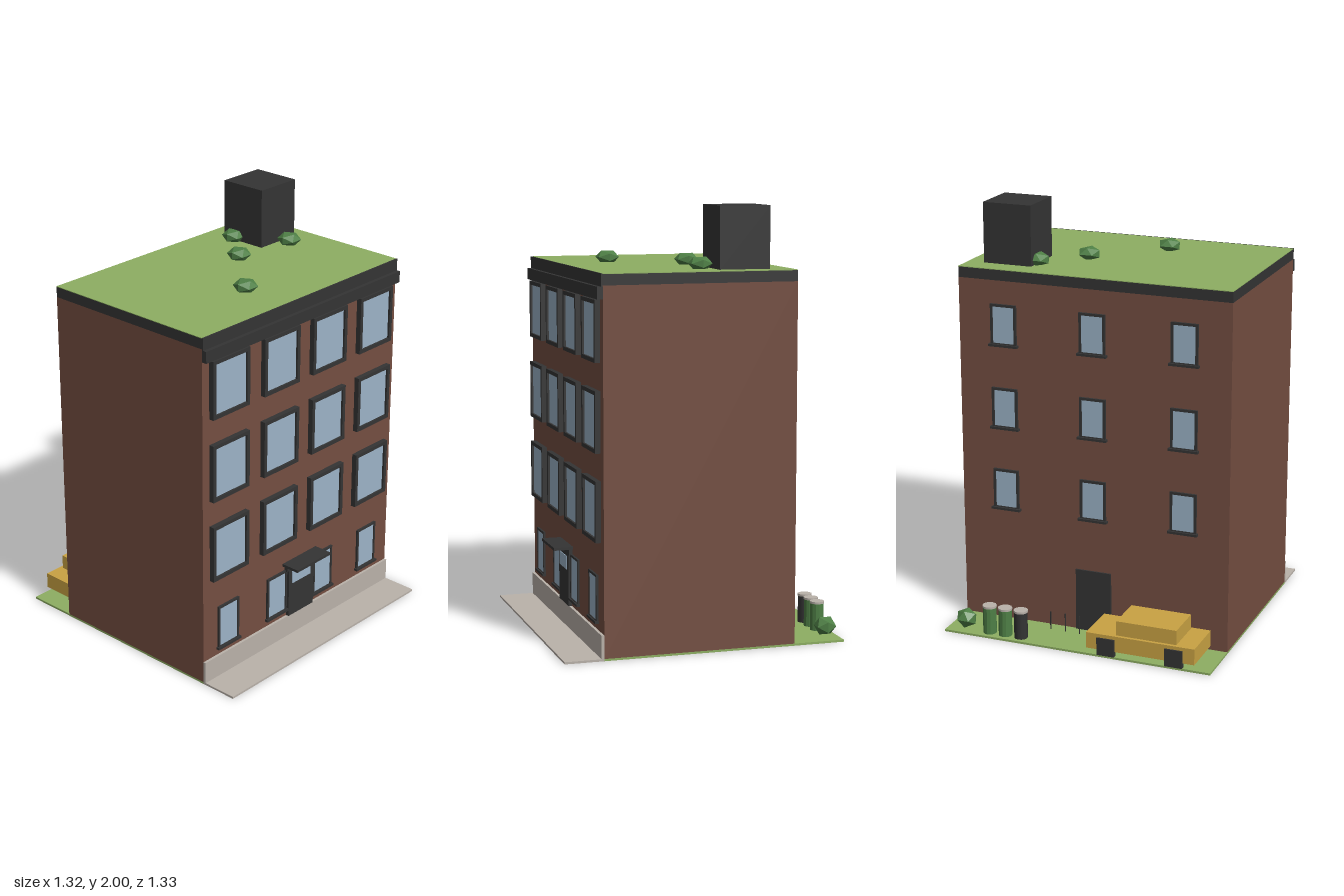
import * as THREE from 'three';

export function createModel() {
  const root = new THREE.Group();
  root.name = 'townBuilding';

  const mat = (name, color, flatShading = false) => {
    const m = new THREE.MeshStandardMaterial({ color, flatShading });
    m.name = name;
    return m;
  };
  const brick = mat('brick', 0x744e41);
  const dark = mat('darkTrim', 0x343434);
  const glass = mat('glass', 0x9cb3c7);
  const grass = mat('grass', 0x8dae62);
  const stone = mat('stone', 0xbab2aa);
  const yellow = mat('carPaint', 0xc9a243);
  const leaf = mat('leaf', 0x4f8046, true);

  const add = (name, geo, m, parent = root) => {
    const mesh = new THREE.Mesh(geo, m);
    mesh.name = name;
    parent.add(mesh);
    return mesh;
  };
  // Box given by its lower and upper corners
  const box = (name, m, x0, x1, y0, y1, z0, z1, parent = root) => {
    const mesh = add(name, new THREE.BoxGeometry(x1 - x0, y1 - y0, z1 - z0), m, parent);
    mesh.position.set((x0 + x1) / 2, (y0 + y1) / 2, (z0 + z1) / 2);
    return mesh;
  };

  const W = 0.662, BACK = -0.42, FRONT = 0.48;

  // Ground
  box('lawn', grass, -W, W, 0, 0.01, -0.662, FRONT);
  box('pavement', stone, -W, W, 0, 0.01, FRONT, 0.662);

  // Building shell
  box('walls', brick, -W, W, 0.01, 1.665, BACK, FRONT);
  box('roofEdge', dark, -W, W, 1.665, 1.714, BACK, FRONT);
  box('roofLawn', grass, -W, W, 1.714, 1.717, BACK, FRONT);
  box('corniceTop', dark, -W, W, 1.66, 1.717, FRONT, 0.487);
  box('cornice', dark, -W, W, 1.605, 1.66, FRONT, 0.505);
  box('plinth', stone, -W, W, 0.01, 0.117, FRONT, 0.493);
  box('chimney', dark, 0.343, 0.58, 1.717, 2, -0.317, -0.08);

  // Window with a hollow frame, facing +z from its own origin
  const makeWindow = (w, h, border, depth, sill) => {
    const g = new THREE.Group();
    g.name = 'window';
    const rect = (P, a, b) => {
      const p = new P();
      p.moveTo(-a, -b); p.lineTo(a, -b); p.lineTo(a, b); p.lineTo(-a, b); p.closePath();
      return p;
    };
    const s = rect(THREE.Shape, w / 2, h / 2);
    s.holes.push(rect(THREE.Path, w / 2 - border, h / 2 - border));
    add('frame', new THREE.ExtrudeGeometry(s, { depth, bevelEnabled: false }), dark, g);
    box('pane', glass, -w / 2 + border, w / 2 - border, -h / 2 + border, h / 2 - border, 0, depth * 0.6, g);
    if (sill) box('sill', dark, -w / 2 - 0.008, w / 2 + 0.008, -h / 2 - 0.003, -h / 2 + 0.008, 0, sill, g);
    root.add(g);
    return g;
  };

  // Front windows, three upper rows
  for (const y of [0.662, 1.062, 1.462])
    for (const x of [-0.5, -0.165, 0.165, 0.497])
      makeWindow(0.236, 0.276, 0.018, 0.025, 0).position.set(x, y, FRONT);
  // Front windows on the ground floor
  for (const x of [-0.5, -0.165, 0.165, 0.497])
    makeWindow(0.137, 0.218, 0.011, 0.01, 0.018).position.set(x, 0.26, FRONT);
  // Back windows
  for (const y of [0.663, 1.06, 1.458])
    for (const x of [-0.442, 0, 0.438]) {
      const g = makeWindow(0.128, 0.196, 0.012, 0.011, 0.022);
      g.position.set(x, y, BACK);
      g.rotation.y = Math.PI;
    }

  // Front entrance with canopy
  box('frontDoor', dark, -0.09, 0.088, 0.117, 0.37, FRONT, 0.496);
  box('doorPane', glass, -0.068, 0.064, 0.288, 0.352, 0.494, 0.499);
  box('doorHead', dark, -0.105, 0.105, 0.362, 0.393, FRONT, 0.497);
  box('canopy', dark, -0.12, 0.119, 0.393, 0.406, FRONT, 0.572);
  box('backDoor', dark, -0.088, 0.088, 0.01, 0.312, BACK - 0.008, BACK);

  // Parked car
  const car = new THREE.Group();
  car.name = 'car';
  root.add(car);
  box('carBody', yellow, -0.585, -0.058, 0.035, 0.112, -0.658, -0.433, car);
  box('carCabin', yellow, -0.493, -0.2, 0.112, 0.182, -0.642, -0.445, car);
  for (const x of [-0.485, -0.155])
    for (const z of [-0.653, -0.438])
      box('wheel', dark, x - 0.043, x + 0.043, 0.01, 0.095, z - 0.012, z + 0.012, car);

  // Bins with pale lids
  [[0.29, dark], [0.37, leaf], [0.45, leaf]].forEach(([x, m]) => {
    add('bin', new THREE.CylinderGeometry(0.032, 0.032, 0.128, 12), m).position.set(x, 0.074, -0.612);
    add('binLid', new THREE.CylinderGeometry(0.034, 0.034, 0.01, 12), stone).position.set(x, 0.143, -0.612);
  });

  // Thin posts by the back door
  for (const x of [0.05, 0.122, 0.197])
    add('post', new THREE.CylinderGeometry(0.003, 0.003, 0.09, 6), dark).position.set(x, 0.055, -0.477);

  // Low-poly bushes on the roof and lawn
  const bush = (x, y, z, r, sy) => {
    const b = add('bush', new THREE.IcosahedronGeometry(r, 0).rotateY(Math.PI / 2).scale(1, sy, 1), leaf);
    b.position.set(x, y, z);
  };
  for (const [x, z] of [[-0.125, 0.242], [0.162, -0.058], [0.335, -0.25], [0.477, -0.022]])
    bush(x, 1.741, z, 0.058, 0.58);
  bush(0.575, 0.06, -0.603, 0.053, 0.9);

  return root;
}
